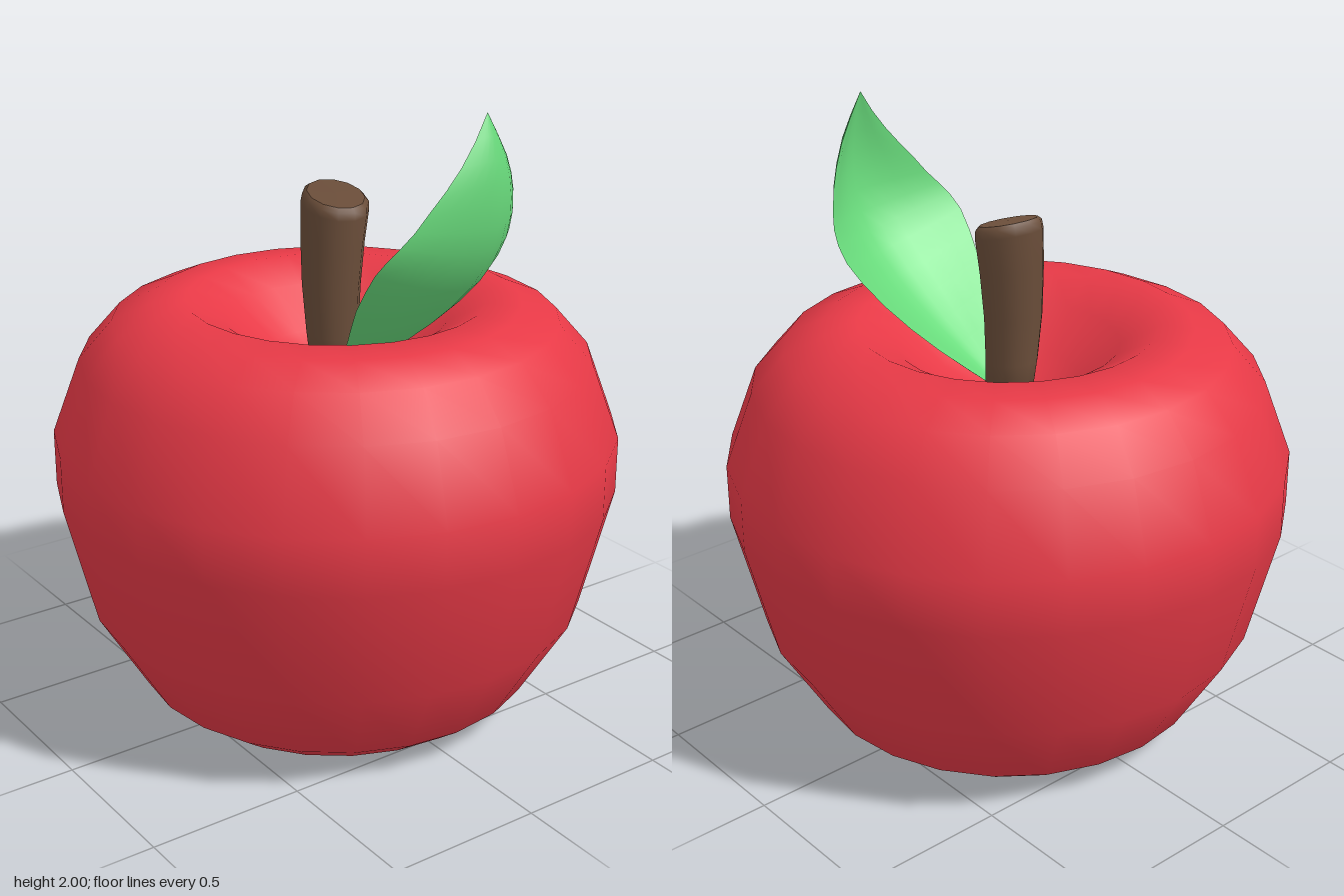
import * as THREE from 'three';

const material = (color) => new THREE.MeshStandardMaterial({ color, side: THREE.DoubleSide });
const toPoints = (pairs) => pairs.map(([r, y]) => new THREE.Vector2(r, y));

// Round fruit with a dimple at the top and the bottom
function createBody() {
  const profile = toPoints([
    [0, 0.18], [0.12, 0.13], [0.27, 0.05], [0.36, 0.015], [0.46, 0], [0.55, 0.03],
    [0.645, 0.1], [0.8, 0.36], [0.895, 0.75], [0.895, 0.93], [0.805, 1.17],
    [0.7, 1.29], [0.58, 1.342], [0.47, 1.35], [0.35, 1.285], [0.22, 1.17],
    [0.1, 1.1], [0, 1.08],
  ]);
  const mesh = new THREE.Mesh(new THREE.LatheGeometry(profile, 24), material(0xe63946));
  mesh.name = 'fruitBody';
  return mesh;
}

// Stem that widens upward, bows slightly and ends in a slanted top
function createStem() {
  const height = 0.6;
  const profile = toPoints([
    [0, 0], [0.075, 0], [0.083, 0.15], [0.092, 0.3], [0.1, 0.45],
    [0.106, 0.56], [0.103, 0.585], [0.09, 0.597], [0.09, 0.597], [0, height],
  ]);
  const geometry = new THREE.LatheGeometry(profile, 12);
  const p = geometry.attributes.position;
  for (let i = 0; i < p.count; i++) {
    const s = p.getY(i) / height;
    const x = p.getX(i);
    p.setXY(i, x - 0.025 * Math.sin(Math.PI * s), p.getY(i) - 0.28 * x * s);
  }
  const mesh = new THREE.Mesh(geometry, material(0x6b4e3a));
  mesh.name = 'stem';
  mesh.position.y = 1.08;
  return mesh;
}

// Leaf midline: x = distance out, y = height, z = half width
const leafLine = new THREE.CatmullRomCurve3([
  [0.04, 1.12, 0.03], [0.2, 1.21, 0.15], [0.36, 1.33, 0.26], [0.5, 1.47, 0.31],
  [0.575, 1.6, 0.28], [0.6, 1.74, 0.21], [0.59, 1.87, 0.115], [0.543, 2, 0],
].map((a) => new THREE.Vector3(...a)));

// One face of the leaf, cupped across its width
function leafSheet(name, thickness, flip) {
  const rows = 14, cols = 10, positions = [], indices = [];
  for (let i = 0; i <= rows; i++) {
    const m = leafLine.getPoint(i / rows);
    const t = leafLine.getTangent(i / rows);
    const length = Math.hypot(t.x, t.y);
    for (let j = 0; j <= cols; j++) {
      const v = (2 * j) / cols - 1;
      const lift = 0.48 * m.z * Math.abs(v) ** 1.7
        + thickness * (1 - v ** 4) * Math.min(1, m.z * 8);
      positions.push(m.x - (t.y / length) * lift, m.y + (t.x / length) * lift, m.z * v);
      if (i < rows && j < cols) {
        const a = i * (cols + 1) + j, b = a + 1, c = a + cols + 1, d = c + 1;
        indices.push(...(flip ? [a, c, b, b, c, d] : [a, b, c, b, d, c]));
      }
    }
  }
  const geometry = new THREE.BufferGeometry();
  geometry.setAttribute('position', new THREE.Float32BufferAttribute(positions, 3));
  geometry.setIndex(indices);
  geometry.computeVertexNormals();
  const mesh = new THREE.Mesh(geometry, material(0x69db7c));
  mesh.name = name;
  return mesh;
}

function createLeaf() {
  const leaf = new THREE.Group();
  leaf.name = 'leaf';
  leaf.add(leafSheet('leafUnderside', 0, true), leafSheet('leafUpperSide', 0.02, false));
  leaf.rotation.y = 0.29;
  return leaf;
}

export function createModel() {
  const model = new THREE.Group();
  model.name = 'apple';
  model.add(createBody(), createStem(), createLeaf());
  return model;
}
